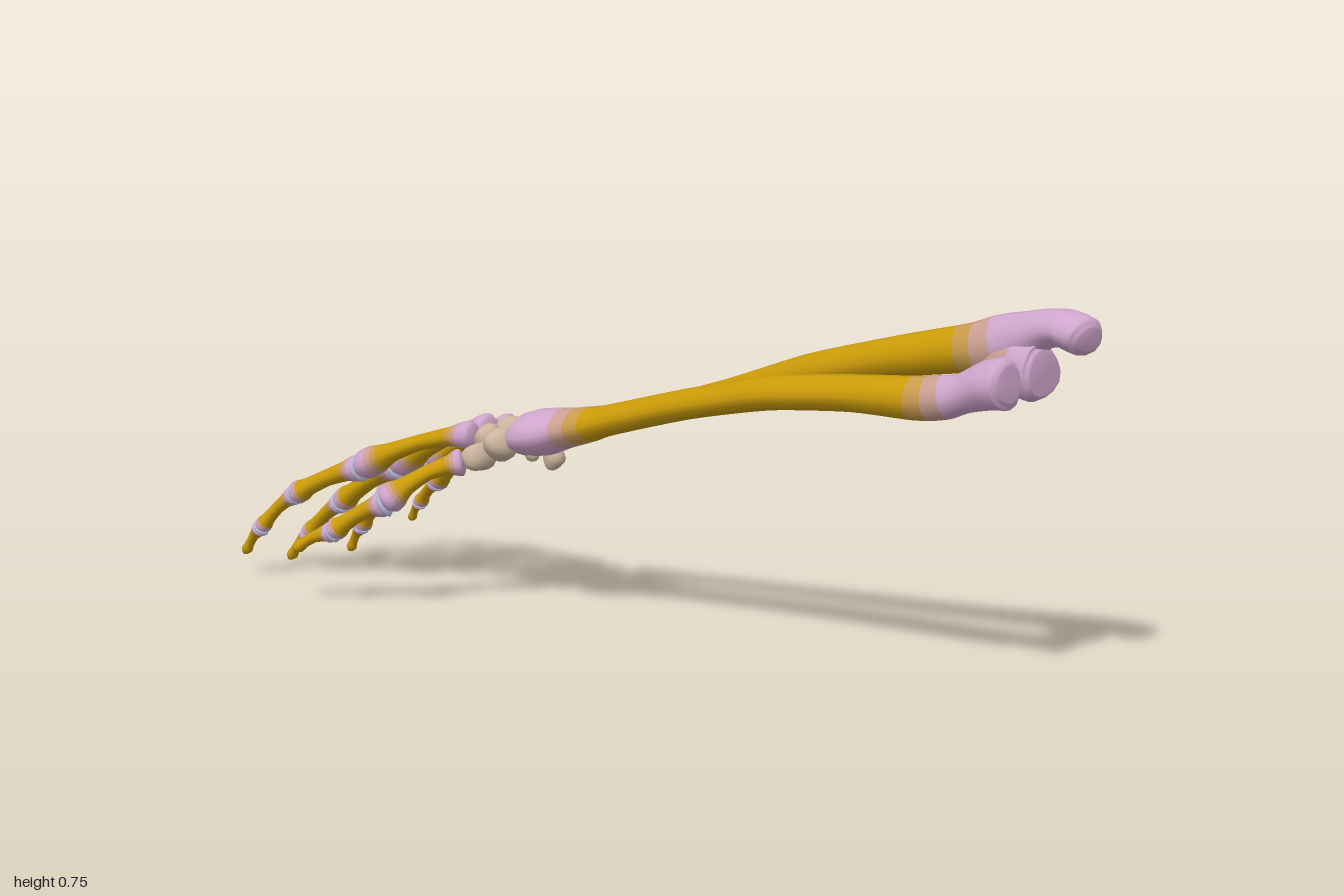
import * as THREE from 'three';

const mat = (name, color) => Object.assign(new THREE.MeshStandardMaterial({ color }), { name });

export function createModel() {
  const group = new THREE.Group();
  const shaft = mat('ochre shaft', 0xc99a08);
  const end = mat('pink bone end', 0xcfa5cb);
  const blendOchre = mat('tan ochre transition', 0xc89a4c);
  const blendPink = mat('pink tan transition', 0xcb9f92);
  const wrist = mat('beige wrist bone', 0xcbb49e);
  const cartilage = mat('pale blue cartilage', 0xb9bedd);
  const grey = mat('grey green wrist bone', 0xa3ab9c);
  const palette = [shaft, end, blendOchre, blendPink];
  const Y = new THREE.Vector3(0, 1, 0);

  // Loft of oval rings; section = [x, y, z, half width, half height, colour of the band that follows]
  function bone(name, sections, { sides = 14, sub = 4, ridge = 0.06 } = {}) {
    const curve = f => new THREE.CatmullRomCurve3(sections.map(f), false, 'catmullrom', 0.35);
    const path = curve(s => new THREE.Vector3(s[0], s[1], s[2]));
    const size = curve(s => new THREE.Vector3(s[3], s[4], 0));
    const rings = (sections.length - 1) * sub;
    const pos = [], index = [];
    const geo = new THREE.BufferGeometry();
    for (let i = 0; i <= rings; i++) {
      const p = path.getPoint(i / rings), r = size.getPoint(i / rings), t = path.getTangent(i / rings);
      const s = new THREE.Vector3().crossVectors(Y, t).normalize();
      const n = new THREE.Vector3().crossVectors(t, s);
      for (let j = 0; j < sides; j++) {
        const a = j / sides * Math.PI * 2, k = 1 + ridge * Math.cos(3 * a + 0.6);
        const v = p.clone().addScaledVector(s, Math.cos(a) * r.x * k).addScaledVector(n, Math.sin(a) * r.y * k);
        pos.push(v.x, v.y, v.z);
      }
    }
    const first = pos.length / 3;
    for (const i of [0, sections.length - 1]) pos.push(...sections[i].slice(0, 3));
    const add = (m, ...tris) => {
      geo.addGroup(index.length, tris.length, m);
      index.push(...tris);
    };
    const lastRing = rings * sides;
    for (let i = 0; i < rings; i++) {
      const band = [];
      for (let j = 0; j < sides; j++) {
        const a = i * sides + j, b = i * sides + (j + 1) % sides;
        band.push(a, b, a + sides, b, b + sides, a + sides);
      }
      add(sections[Math.floor(i / sub)][5], ...band);
    }
    for (let j = 0; j < sides; j++) {
      const k = (j + 1) % sides;
      add(sections[0][5], first, k, j);
      add(sections[sections.length - 2][5], first + 1, lastRing + j, lastRing + k);
    }
    geo.setAttribute('position', new THREE.Float32BufferAttribute(pos, 3));
    geo.setIndex(index);
    geo.computeVertexNormals();
    const mesh = new THREE.Mesh(geo, palette);
    mesh.name = name;
    group.add(mesh);
  }

  // Forearm bone on the thumb side, with a round head at the elbow
  bone('radius', [
    [0.148, 0.624, 0.907, 0.034, 0.034, 1], [0.148, 0.623, 0.895, 0.049, 0.049, 1],
    [0.146, 0.616, 0.86, 0.047, 0.047, 1], [0.138, 0.597, 0.81, 0.035, 0.038, 1],
    [0.131, 0.586, 0.775, 0.036, 0.042, 3], [0.125, 0.58, 0.74, 0.037, 0.043, 2],
    [0.117, 0.577, 0.705, 0.038, 0.042, 0],
    [0.09, 0.574, 0.58, 0.04, 0.036, 0], [0.057, 0.556, 0.4, 0.04, 0.034, 0],
    [0.032, 0.512, 0.2, 0.036, 0.031, 0], [0.01, 0.456, 0, 0.038, 0.032, 0],
    [0.005, 0.441, -0.05, 0.045, 0.036, 2], [0.001, 0.432, -0.085, 0.052, 0.039, 3],
    [-0.004, 0.424, -0.12, 0.06, 0.043, 1],
    [-0.015, 0.409, -0.175, 0.077, 0.05, 1], [-0.016, 0.403, -0.21, 0.074, 0.047, 1],
    [-0.016, 0.401, -0.225, 0.052, 0.032, 1]]);

  // Forearm bone on the little finger side, with the hooked elbow
  bone('ulna', [
    [0.262, 0.705, 0.998, 0.03, 0.022, 1], [0.264, 0.708, 0.985, 0.046, 0.037, 1],
    [0.266, 0.718, 0.945, 0.049, 0.036, 1], [0.262, 0.714, 0.9, 0.042, 0.037, 1],
    [0.256, 0.692, 0.85, 0.042, 0.05, 1], [0.247, 0.675, 0.805, 0.042, 0.055, 3],
    [0.239, 0.666, 0.765, 0.04, 0.05, 2], [0.232, 0.66, 0.73, 0.039, 0.046, 0],
    [0.202, 0.635, 0.6, 0.035, 0.04, 0], [0.174, 0.586, 0.4, 0.032, 0.035, 0],
    [0.16, 0.521, 0.2, 0.028, 0.029, 0], [0.14, 0.46, 0, 0.027, 0.026, 0],
    [0.132, 0.447, -0.045, 0.028, 0.026, 2], [0.126, 0.439, -0.075, 0.029, 0.027, 3],
    [0.12, 0.432, -0.105, 0.031, 0.029, 1], [0.105, 0.412, -0.18, 0.039, 0.036, 1],
    [0.1, 0.405, -0.215, 0.035, 0.032, 1], [0.098, 0.402, -0.227, 0.022, 0.02, 1]]);
  bone('elbowLip', [
    [0.235, 0.655, 0.74, 0.02, 0.02, 2], [0.243, 0.652, 0.8, 0.04, 0.042, 3],
    [0.248, 0.643, 0.845, 0.052, 0.052, 1], [0.252, 0.634, 0.893, 0.06, 0.056, 1],
    [0.252, 0.634, 0.91, 0.046, 0.042, 1]]);

  // One finger bone from a to b; r is the end radius, bow lifts the middle
  const shapes = {
    metacarpal: [[0, 0.7, 1], [0.04, 1, 1], [0.11, 0.9, 3], [0.16, 0.78, 2], [0.21, 0.68, 0], [0.45, 0.56, 0], [0.7, 0.68, 0], [0.79, 0.86, 2], [0.83, 0.98, 3], [0.87, 1.08, 1], [0.95, 1.08, 1], [1, 0.65, 1]],
    phalanx: [[0, 0.7, 1], [0.05, 1.05, 1], [0.11, 0.98, 3], [0.17, 0.88, 2], [0.23, 0.79, 0], [0.5, 0.66, 0], [0.78, 0.72, 0], [0.87, 0.88, 3], [0.92, 0.92, 1], [0.96, 0.9, 1], [1, 0.6, 1]],
    tip: [[0, 0.7, 1], [0.08, 1.08, 1], [0.16, 0.94, 2], [0.24, 0.82, 0], [0.5, 0.58, 0], [0.75, 0.57, 0], [0.9, 0.68, 0], [1, 0.35, 0]],
  };
  function fingerBone(name, shape, a, b, r, bow) {
    bone(name, shapes[shape].map(([t, k, m]) => {
      const p = a.clone().lerp(b, t);
      return [p.x, p.y + bow * Math.sin(Math.PI * t), p.z, r * k, r * k * 0.92, m];
    }), { sides: 12, sub: 2, ridge: 0.05 });
  }

  // Thin cartilage disc across a joint
  function joint(name, p, dir, r) {
    const m = new THREE.Mesh(new THREE.SphereGeometry(1, 14, 8), cartilage);
    m.scale.set(r, r * 0.25, r * 0.95);
    m.position.copy(p);
    m.quaternion.setFromUnitVectors(Y, dir.clone().normalize());
    m.name = name;
    group.add(m);
  }

  // Digits: joint points from the wrist to the tip, with a radius for each bone
  const digits = {
    thumb: [[[-0.1, 0.335, -0.335], [-0.225, 0.243, -0.455], [-0.275, 0.168, -0.575], [-0.312, 0.12, -0.665]], [0.033, 0.029, 0.023]],
    indexFinger: [[[-0.06, 0.388, -0.345], [-0.135, 0.28, -0.655], [-0.194, 0.2, -0.825], [-0.23, 0.115, -0.908], [-0.241, 0.05, -0.957]], [0.034, 0.031, 0.023, 0.02]],
    middleFinger: [[[-0.012, 0.398, -0.345], [-0.035, 0.272, -0.645], [-0.062, 0.163, -0.825], [-0.078, 0.074, -0.93], [-0.086, 0.004, -0.996]], [0.035, 0.033, 0.026, 0.021]],
    ringFinger: [[[0.045, 0.393, -0.345], [0.064, 0.27, -0.635], [0.06, 0.168, -0.81], [0.054, 0.074, -0.9], [0.052, 0.01, -0.942]], [0.032, 0.03, 0.025, 0.019]],
    littleFinger: [[[0.104, 0.38, -0.345], [0.152, 0.27, -0.62], [0.174, 0.185, -0.76], [0.186, 0.122, -0.84], [0.193, 0.073, -0.882]], [0.031, 0.027, 0.021, 0.017]],
  };
  for (const [name, [points, radii]] of Object.entries(digits)) {
    const p = points.map(q => new THREE.Vector3(...q));
    radii.forEach((r, i) => {
      const shape = i === 0 ? 'metacarpal' : i === radii.length - 1 ? 'tip' : 'phalanx';
      fingerBone(`${name}Bone${i + 1}`, shape, p[i], p[i + 1], r, i === 0 ? 0.018 : 0.008);
      if (i > 0) joint(`${name}Joint${i}`, p[i], p[i + 1].clone().sub(p[i - 1]), r * 1.08);
    });
  }

  // Wrist bones: lumpy pebbles [x, y, z, half sizes x y z, material]
  const pebbles = [
    [-0.058, 0.378, -0.267, 0.04, 0.036, 0.034, wrist], [-0.003, 0.386, -0.254, 0.036, 0.035, 0.034, wrist],
    [0.06, 0.388, -0.258, 0.038, 0.034, 0.032, wrist], [0.108, 0.368, -0.285, 0.03, 0.036, 0.034, wrist],
    [0.118, 0.322, -0.285, 0.022, 0.028, 0.026, wrist], [-0.078, 0.347, -0.312, 0.037, 0.033, 0.032, wrist],
    [-0.045, 0.381, -0.32, 0.031, 0.033, 0.03, wrist], [0.01, 0.389, -0.308, 0.037, 0.036, 0.04, wrist],
    [0.073, 0.381, -0.318, 0.039, 0.037, 0.036, wrist], [0.085, 0.333, -0.32, 0.016, 0.02, 0.02, wrist],
    [0.035, 0.37, -0.285, 0.03, 0.028, 0.03, grey], [-0.03, 0.362, -0.29, 0.028, 0.028, 0.03, grey],
  ];
  pebbles.forEach(([x, y, z, sx, sy, sz, m], i) => {
    const geo = new THREE.SphereGeometry(1, 14, 10);
    const v = new THREE.Vector3(), at = geo.attributes.position;
    for (let k = 0; k < at.count; k++) {
      v.fromBufferAttribute(at, k);
      v.multiplyScalar(1 + 0.09 * Math.sin(3 * v.x + i) + 0.08 * Math.sin(4 * v.y + 2 * i) * Math.cos(3 * v.z + i));
      at.setXYZ(k, v.x, v.y, v.z);
    }
    geo.computeVertexNormals();
    const mesh = new THREE.Mesh(geo, m);
    mesh.scale.set(sx, sy, sz);
    mesh.position.set(x, y, z);
    mesh.name = `wristBone${i + 1}`;
    group.add(mesh);
  });

  return group;
}
